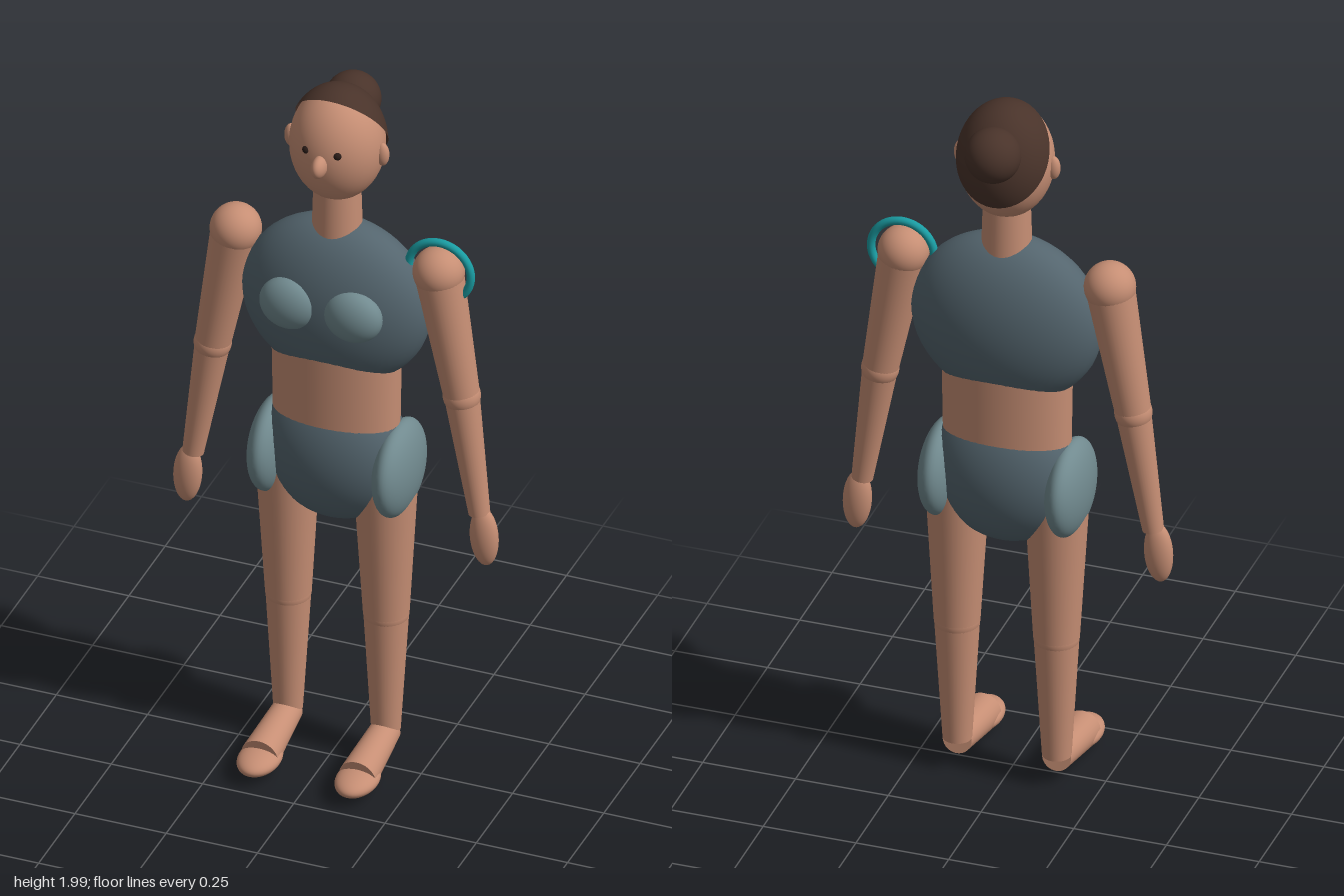
import * as THREE from 'three';

const mat = (name, color) => {
  const m = new THREE.MeshStandardMaterial({ color });
  m.name = name;
  return m;
};

export function createModel() {
  const skin = mat('skin', 0xc68e74);
  const hair = mat('hair', 0x49332a);
  const cloth = mat('dark cloth', 0x54656e);
  const pad = mat('light cloth', 0x718a8f);
  const teal = mat('teal', 0x1a9ca2);
  const dark = mat('eye', 0x2a1c18);
  const Z = -0.05; // body axis
  const model = new THREE.Group();
  model.name = 'figure';

  const add = (name, geometry, material, parent = model) => {
    const mesh = new THREE.Mesh(geometry, material);
    mesh.name = name;
    parent.add(mesh);
    return mesh;
  };
  // Ellipsoid with centre c and radii r
  const ball = (name, c, r, material, parent) => {
    const g = new THREE.SphereGeometry(1, 40, 28).scale(...r);
    const mesh = add(name, g, material, parent);
    mesh.position.set(...c);
    return mesh;
  };
  // Tapered round limb from a (radius ra) to b (radius rb)
  const limb = (name, a, b, ra, rb, material, parent) => {
    const p = new THREE.Vector3(...a), q = new THREE.Vector3(...b);
    const mesh = add(name, new THREE.CylinderGeometry(rb, ra, p.distanceTo(q), 36), material, parent);
    mesh.position.copy(p).add(q).multiplyScalar(0.5);
    mesh.quaternion.setFromUnitVectors(new THREE.Vector3(0, 1, 0), q.sub(p).normalize());
    return mesh;
  };

  // Trunk
  ball('chest', [0, 1.37, -0.048], [0.255, 0.24, 0.133], cloth);
  ball('pelvis', [0, 0.92, -0.047], [0.197, 0.205, 0.128], cloth);
  const waist = add('waist', new THREE.CylinderGeometry(0.174, 0.17, 0.25, 48), skin);
  waist.scale.z = 0.62;
  waist.position.set(0, 1.135, -0.046);
  limb('neck', [0, 1.55, Z], [0, 1.75, Z], 0.066, 0.06, skin);

  // Head
  ball('head', [0, 1.836, -0.052], [0.124, 0.158, 0.123], skin);
  const cap = new THREE.SphereGeometry(1, 48, 28, 0, Math.PI * 2, 0, 1.25)
    .rotateX(-0.85).scale(0.13, 0.165, 0.13);
  const hairMesh = add('hair', cap, hair);
  hairMesh.position.set(0, 1.835, -0.051);
  hair.side = THREE.DoubleSide;
  ball('hairBun', [0, 1.904, -0.157], [0.073, 0.073, 0.073], hair);
  ball('nose', [0, 1.834, 0.074], [0.02, 0.03, 0.034], skin);

  // Armlet ring on the left shoulder
  const ring = add('shoulderRing', new THREE.TorusGeometry(0.085, 0.011, 16, 56), teal);
  ring.position.set(0.28, 1.51, -0.052);

  // Paired parts
  for (const s of [1, -1]) {
    const side = s > 0 ? 'left' : 'right';
    ball(side + 'Ear', [s * 0.125, 1.83, -0.047], [0.018, 0.033, 0.016], skin);
    ball(side + 'Eye', [s * 0.042, 1.866, 0.054], [0.012, 0.012, 0.012], dark);
    ball(side + 'ChestPad', [s * 0.088, 1.395, 0.062], [0.079, 0.073, 0.049], pad);
    ball(side + 'HipPad', [s * 0.171, 0.893, -0.046], [0.054, 0.13, 0.136], pad);

    const arm = new THREE.Group();
    arm.name = side + 'Arm';
    model.add(arm);
    const shoulder = [s * 0.278, 1.51, Z], elbow = [s * 0.341, 1.15, Z], wrist = [s * 0.392, 0.81, -0.043];
    ball('shoulder', shoulder, [0.067, 0.067, 0.067], skin, arm);
    limb('upperArm', shoulder, elbow, 0.064, 0.047, skin, arm);
    ball('elbow', elbow, [0.049, 0.049, 0.049], skin, arm);
    limb('forearm', elbow, wrist, 0.046, 0.028, skin, arm);
    ball('hand', [s * 0.406, 0.743, -0.041], [0.038, 0.085, 0.029], skin, arm).rotation.z = s * 0.06;

    const leg = new THREE.Group();
    leg.name = side + 'Leg';
    model.add(leg);
    const x = s * 0.134;
    limb('thigh', [x, 0.88, -0.046], [x, 0.45, Z], 0.085, 0.06, skin, leg);
    ball('knee', [x, 0.45, Z], [0.06, 0.06, 0.06], skin, leg);
    limb('shin', [x, 0.45, Z], [x, 0.095, -0.048], 0.059, 0.038, skin, leg);
    limb('foot', [x, 0.088, -0.05], [x, 0.06, 0.148], 0.039, 0.05, skin, leg);
    ball('toes', [x, 0.055, 0.146], [0.055, 0.031, 0.083], skin, leg);
  }
  return model;
}
